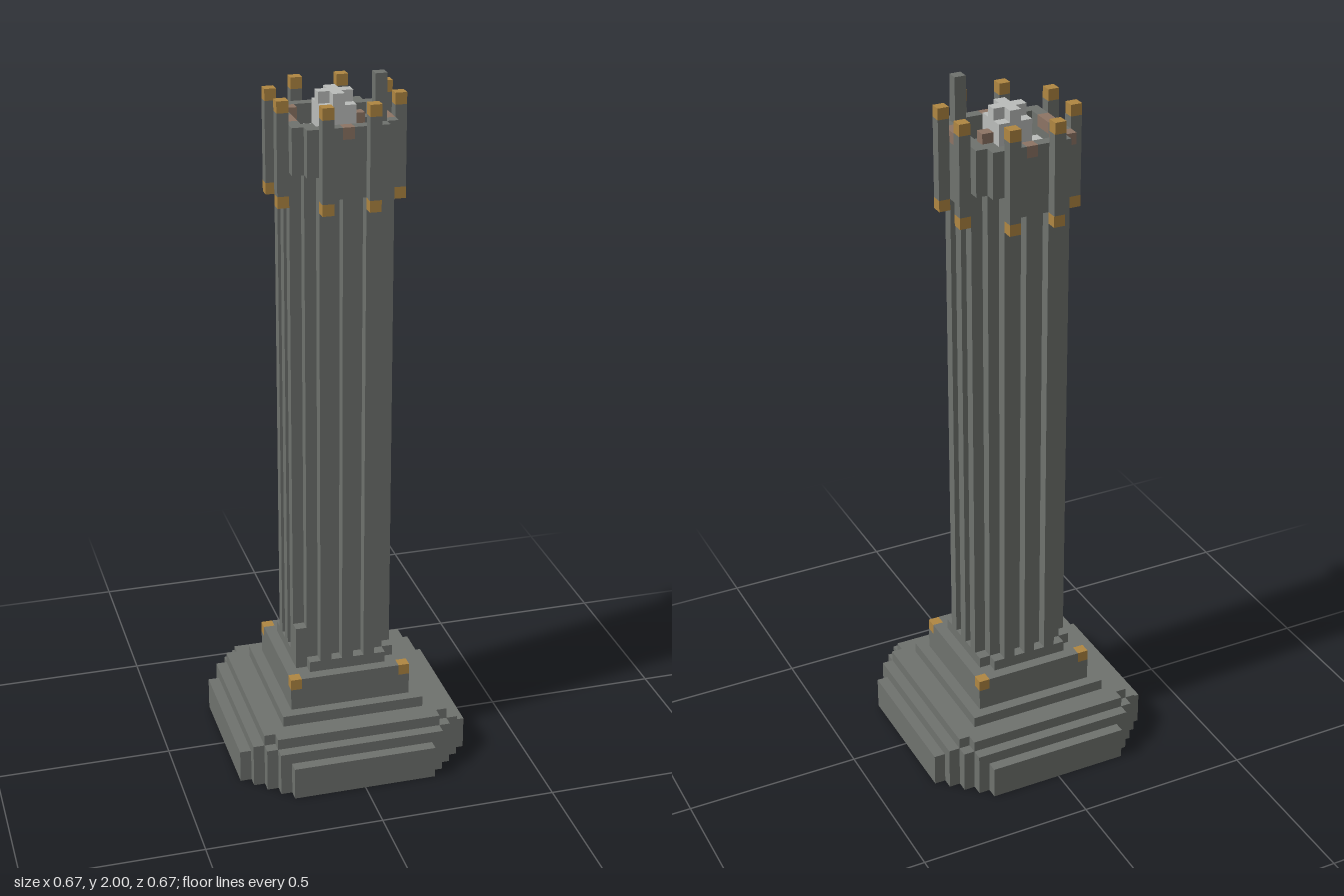
import * as THREE from 'three';

export function createModel() {
  const U = 2 / 63; // one block
  const mat = (name, color) => {
    const m = new THREE.MeshStandardMaterial({ color });
    m.name = name;
    return m;
  };
  const stone = mat('grey stone', 0x6f726e);
  const gold = mat('gold', 0xb08742);
  const clay = mat('brown clay', 0x8d7464);
  const pale = mat('pale stone', 0xbbbdbb);

  const model = new THREE.Group();
  model.name = 'tower';
  const part = (name) => {
    const g = new THREE.Group();
    g.name = name;
    model.add(g);
    return g;
  };
  // Box in block units: centre x/z, bottom and top, width and depth
  const box = (g, name, m, x, z, y0, y1, w = 1, d = 1) => {
    const mesh = new THREE.Mesh(new THREE.BoxGeometry(w * U, (y1 - y0) * U, d * U), m);
    mesh.position.set(x * U, ((y0 + y1) / 2) * U, z * U);
    mesh.name = name;
    g.add(mesh);
  };
  // Layer with stepped corners: each pair is the half width in x and in z
  const stepped = (g, name, y0, y1, pairs) => {
    const pts = [];
    const ring = [];
    pairs.forEach(([a, b], i) => {
      if (i > 0) ring.push([a, pairs[i - 1][1]]);
      ring.push([a, b]);
    });
    for (const [sx, sz, rev] of [[1, 1, 0], [-1, 1, 1], [-1, -1, 0], [1, -1, 1]]) {
      const q = rev ? [...ring].reverse() : ring;
      for (const [a, b] of q) pts.push(new THREE.Vector2(sx * a * U, -sz * b * U));
    }
    const geo = new THREE.ExtrudeGeometry(new THREE.Shape(pts), { depth: (y1 - y0) * U, bevelEnabled: false });
    geo.rotateX(-Math.PI / 2);
    const mesh = new THREE.Mesh(geo, stone);
    mesh.position.y = y0 * U;
    mesh.name = name;
    g.add(mesh);
  };

  // Stepped base
  const base = part('base');
  stepped(base, 'baseSlab', 0, 3, [[10.5, 6.5], [9.5, 7.5], [8.5, 8.5], [7.5, 9.5], [6.5, 10.5]]);
  stepped(base, 'baseStep', 3, 4, [[9.5, 7.5], [8.5, 8.5], [7.5, 9.5]]);
  stepped(base, 'upperStep', 4, 5, [[8.5, 7.5], [7.5, 8.5]]);
  box(base, 'squareStep', stone, 0, 0, 5, 6, 13, 13);

  // Plinth with gold corners
  const plinth = part('plinth');
  box(plinth, 'plinthBlock', stone, 0, 0, 6, 8, 11, 11);
  box(plinth, 'plinthTop', stone, 0, 0, 8, 9, 11, 9);
  for (const s of [-1, 1]) {
    box(plinth, 'plinthEdge', stone, 0, s * 5, 8, 9, 9, 1);
    for (const t of [-1, 1]) box(plinth, 'cornerStud', gold, s * 5, t * 5, 8, 9);
  }

  // Fluted shaft
  const shaft = part('shaft');
  stepped(shaft, 'shaftFoot', 9, 10, [[4.5, 3.5], [3.5, 4.5]]);
  box(shaft, 'shaftCore', stone, 0, 0, 10, 57, 7, 7);
  for (const s of [-4, 4]) {
    for (const t of [-2, 0, 2]) {
      box(shaft, 'rib', stone, s, t, 10, 53);
      box(shaft, 'rib', stone, t, s, 10, 53);
    }
  }
  box(shaft, 'cornerBlock', stone, -4, 3, 9, 13);

  // Parapet ring with weathered brown blocks
  const parapet = part('parapet');
  const worn = new Set(['-4,-3', '-3,-3', '0,-4', '-4,0', '-4,1', '4,1', '4,2', '0,4']);
  for (let x = -4; x <= 4; x++) {
    for (let z = -4; z <= 4; z++) {
      const a = Math.abs(x), b = Math.abs(z);
      if (a + b === 8 || (Math.max(a, b) < 4 && a + b < 6)) continue;
      const bottom = a >= 3 && b >= 3 ? 55 : 53;
      const brown = worn.has(x + ',' + z);
      box(parapet, 'wallBlock', stone, x, z, bottom, brown ? 58 : 59);
      if (brown) box(parapet, 'wornBlock', clay, x, z, 58, 59);
    }
  }
  box(parapet, 'innerBlock', stone, 3, -2, 57, 58);
  box(parapet, 'finial', stone, 3, 3, 57, 63);

  // Eight gold-tipped posts
  const posts = part('posts');
  const post = (x, z) => {
    box(posts, 'postFoot', gold, x, z, 52, 53);
    box(posts, 'post', stone, x, z, 53, 60);
    box(posts, 'postCap', gold, x, z, 60, 61);
  };
  for (const s of [-5, 5]) for (const t of [-2, 2]) {
    post(s, t);
    post(t, s);
  }

  // Pale heap in the middle and the trail on the floor
  const heap = part('paleHeap');
  box(heap, 'heapBody', pale, 0, 0, 57, 60, 3, 3);
  box(heap, 'heapTop', pale, 0, 0, 60, 61, 3, 1);
  for (const s of [-1, 1]) box(heap, 'heapTop', pale, 0, s, 60, 61);
  box(heap, 'heapChip', clay, 2, 0, 58, 59);
  for (const [x, z, w] of [[-1, -3, 3], [-2, -2, 3], [-2.5, -1, 2], [-3, 0, 1], [-3, 1, 1]]) {
    box(heap, 'floorTrail', pale, x, z, 57, 57.25, w, 1);
  }
  return model;
}
